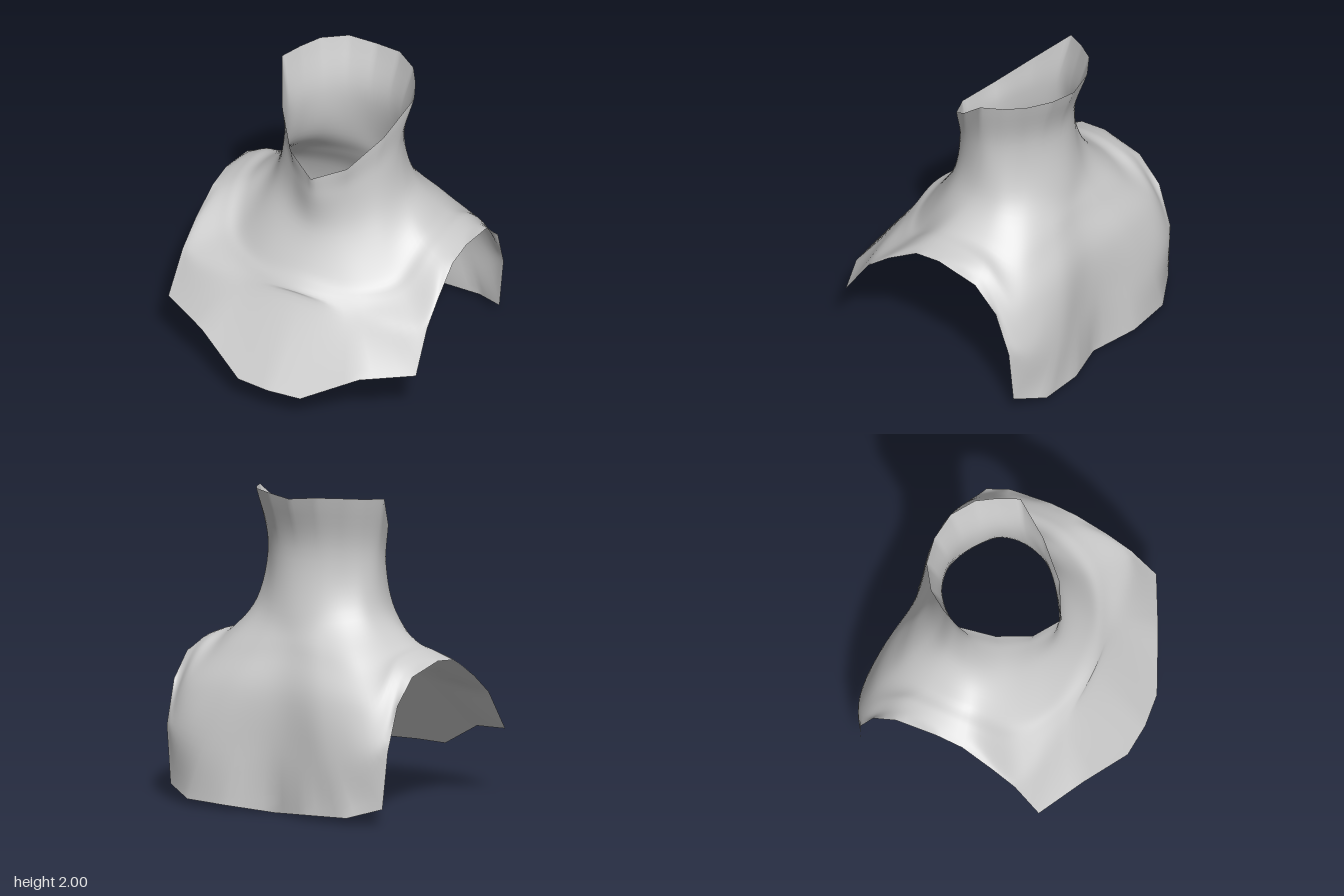
import * as THREE from 'three';

// Half cross-sections (x >= 0), running from the front centre round to the back centre.
const rim = [[0, 1.5, .27], [.2, 1.58, .165], [.36, 1.76, -.02], [.47, 1.97, -.23],
  [.41, 1.98, -.36], [.33, 1.995, -.48], [.18, 2, -.58], [0, 1.98, -.61]];
const neck = [[0, 1.36, .245], [.19, 1.4, .145], [.33, 1.5, 0], [.395, 1.6, -.17],
  [.36, 1.62, -.3], [.27, 1.63, -.41], [.15, 1.64, -.485], [0, 1.64, -.51]];
const neckBase = [[0, 1.1, .24], [.21, 1.13, .18], [.37, 1.2, .05], [.44, 1.25, -.15],
  [.42, 1.27, -.33], [.32, 1.26, -.45], [.17, 1.24, -.54], [0, 1.22, -.575]];
const shoulder = [[0, .86, .375], [.29, .85, .33], [.52, .89, .17], [.6, 1.06, -.08],
  [.6, 1.055, -.36], [.52, .98, -.59], [.26, 1, -.65], [0, 1.02, -.635]];
const collarbone = [[0, .77, .48], [.33, .755, .41], [.63, .8, .24], [.72, 1.005, -.05],
  [.72, .99, -.45], [.69, .75, -.71], [.36, .75, -.775], [0, .75, -.735]];
const chest = [[0, .685, .515], [.42, .64, .495], [.8, .71, .34], [.8, .97, -.03],
  [.8, .935, -.475], [.78, .52, -.755], [.48, .38, -.85], [0, .38, -.775]];
// Angular hem with two points for each one above
const hem = [[0, .22, .85], [.22, .22, .83], [.56, .39, .68], [.88, .43, .52], [.87, .69, .35],
  [.865, .82, .19], [.855, .95, -.02], [.855, .97, -.2], [.85, .91, -.48], [.845, .75, -.64],
  [.835, .47, -.735], [.8, .1, -.745], [.6, .04, -.855], [.3, .03, -.86], [0, 0, -.765]];

const COLS = 112, ROWS = 36;

// Mirror a half section into a closed loop
function mirrorLoop(half) {
  const right = half.slice(1, -1).reverse().map(([x, y, z]) => [-x, y, z]);
  return [...half, ...right].map(p => new THREE.Vector3(...p));
}

// Sample a loop at COLS points, either curved or with straight edges
function sampleLoop(half, straight) {
  const pts = mirrorLoop(half);
  const curve = new THREE.CatmullRomCurve3(pts, true, 'catmullrom', 0.5);
  return Array.from({ length: COLS }, (_, i) => {
    if (!straight) return curve.getPoint(i / COLS);
    const t = i / COLS * pts.length, k = Math.floor(t);
    return pts[k].clone().lerp(pts[(k + 1) % pts.length], t - k);
  });
}

// Skin the loops with smooth curves running from the rim to the hem
function skin(loops) {
  const pos = [], index = [];
  const lines = loops[0].map((_, i) =>
    new THREE.CatmullRomCurve3(loops.map(l => l[i]), false, 'catmullrom', 0.5));
  for (let j = 0; j <= ROWS; j++)
    for (const line of lines) pos.push(...line.getPoint(j / ROWS).toArray());
  for (let j = 0; j < ROWS; j++)
    for (let i = 0; i < COLS; i++) {
      const n = (i + 1) % COLS;
      const a = j * COLS + i, b = j * COLS + n, c = a + COLS, d = b + COLS;
      index.push(a, c, b, b, c, d);
    }
  const geo = new THREE.BufferGeometry();
  geo.setAttribute('position', new THREE.Float32BufferAttribute(pos, 3));
  geo.setIndex(index);
  geo.computeVertexNormals();
  return geo;
}

export function createModel() {
  const group = new THREE.Group();
  group.name = 'neckAndShoulders';
  const loops = [
    sampleLoop(rim, true),
    ...[neck, neckBase, shoulder, collarbone, chest].map(s => sampleLoop(s, false)),
    sampleLoop(hem, true),
  ];
  const mesh = new THREE.Mesh(skin(loops),
    new THREE.MeshStandardMaterial({ color: 0xcccccc, side: THREE.DoubleSide }));
  mesh.name = 'neckAndShoulderShell';
  group.add(mesh);
  return group;
}
